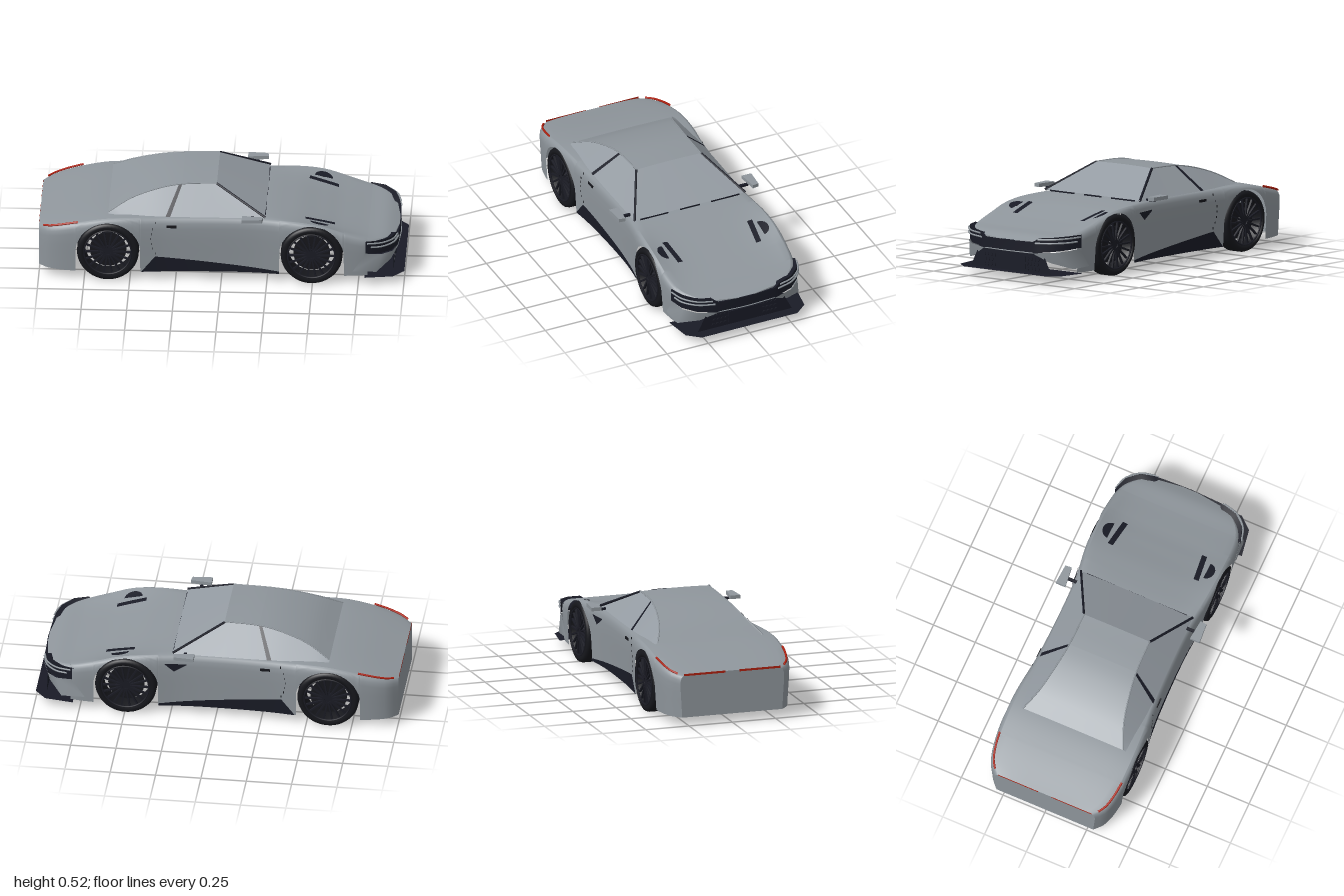
import * as THREE from 'three';

const mat = (name, color) => {
  const m = new THREE.MeshStandardMaterial({ color, side: THREE.DoubleSide });
  m.name = name;
  return m;
};

// smooth interpolation through [x, value] knots
function curve(knots) {
  const n = knots.length;
  const slope = i => {
    const a = knots[Math.max(i - 1, 0)], b = knots[Math.min(i + 1, n - 1)];
    return (b[1] - a[1]) / (b[0] - a[0]);
  };
  return x => {
    let i = 0;
    while (i < n - 2 && x > knots[i + 1][0]) i++;
    const [x0, y0] = knots[i], [x1, y1] = knots[i + 1], h = x1 - x0;
    const t = Math.min(1, Math.max(0, (x - x0) / h)), t2 = t * t, t3 = t2 * t;
    return (2 * t3 - 3 * t2 + 1) * y0 + (t3 - 2 * t2 + t) * h * slope(i)
      + (3 * t2 - 2 * t3) * y1 + (t3 - t2) * h * slope(i + 1);
  };
}

// surface through equal-length rows of [x, y, z]
function loft(rows) {
  const m = rows[0].length, index = [];
  for (let i = 0; i < rows.length - 1; i++) for (let j = 0; j < m - 1; j++) {
    const a = i * m + j, b = a + m;
    index.push(a, a + 1, b, b, a + 1, b + 1);
  }
  const g = new THREE.BufferGeometry();
  g.setAttribute('position', new THREE.Float32BufferAttribute(rows.flat(2), 3));
  g.setIndex(index);
  g.computeVertexNormals();
  return g;
}
const steps = (a, b, n) => Array.from({ length: n + 1 }, (_, i) => a + (b - a) * i / n);
const tube = (pts, r, n = 12) => new THREE.TubeGeometry(
  new THREE.CatmullRomCurve3(pts.map(p => new THREE.Vector3(...p))), n, r, 6);
const outline = pts => new THREE.Shape(pts.map(p => new THREE.Vector2(...p)));

// body profiles along the car
const halfWidth = curve([[-1, .30], [-.95, .345], [-.85, .376], [-.68, .389], [-.5, .382], [-.3, .36], [0, .35],
  [.2, .355], [.4, .379], [.55, .387], [.7, .38], [.8, .365], [.86, .335], [.92, .27], [.95, .19], [.965, .05]]);
const shoulder = curve([[-1, .285], [-.78, .34], [-.6, .368], [-.3, .37], [.2, .37], [.42, .362], [.55, .343],
  [.65, .312], [.8, .268], [.9, .247], [.965, .222]]);
const crown = curve([[-1, .008], [-.6, .008], [.2, .004], [.38, -.014], [.55, -.032], [.75, -.014], [.9, 0], [.965, 0]]);
const sidePlan = curve([[0, .965], [.45, .985], [.7, .997], [.88, .995], [.97, .968], [1, .93]]);
const WHEELS = [-.62, .495], AXLE = .169, ARCH = .177;
const sideZ = (x, y) => halfWidth(x) * sidePlan((y - .05) / (shoulder(x) - .05));
const topY = (x, z) => shoulder(x) + crown(x) * (1 - (z / (.93 * halfWidth(x))) ** 4);
function lowerEdge(x) {
  if (x > .8005) return shoulder(x) - .02;
  for (const c of WHEELS) {
    const d = Math.abs(x - c);
    if (d < ARCH) return Math.min(AXLE + Math.sqrt(ARCH * ARCH - d * d), shoulder(x) - .008);
  }
  return .05;
}
function halfSection(x) {
  const yb = lowerEdge(x), ys = shoulder(x), w = halfWidth(x) * .93;
  const side = [0, .2, .4, .6, .8, .9, .97, 1].map(k => {
    const y = yb + (ys - yb) * k;
    return [x, y, sideZ(x, y)];
  });
  return side.concat([.9, .8, .7, .55, .4, .2, 0].map(u => [x, topY(x, u * w), u * w]));
}
const flip = p => [p[0], p[1], -p[2]];

export function createModel() {
  const M = {
    body: mat('silver paint', 0x8f969c),
    glass: mat('grey glass', 0x949ba2),
    trim: mat('dark trim', 0x191b26),
    black: mat('black rubber', 0x16171c),
    rim: mat('dark rim', 0x1a1b24),
    red: mat('red light', 0xb0200f),
  };
  const car = new THREE.Group();
  car.name = 'sportsCar';
  const add = (name, geo, m, parent = car) => {
    const mesh = new THREE.Mesh(geo, m);
    mesh.name = name;
    parent.add(mesh);
    return mesh;
  };
  const box = (name, m, size, pos) => add(name, new THREE.BoxGeometry(...size), m).position.set(...pos);

  // body shell with wheel arches, open below
  const xs = steps(-1, .965, 84).concat([.8, .801],
    WHEELS.flatMap(c => [-1, 1].flatMap(s => [.169, .174, .1765, .1775].map(d => c + s * d))));
  xs.sort((a, b) => a - b);
  add('bodyShell', loft(xs.map(x => {
    const h = halfSection(x);
    return h.concat(h.slice(0, -1).reverse().map(flip));
  })), M.body);
  const tail = halfSection(-1);
  add('rearPanel', loft([tail, tail.map(flip)]), M.body);
  box('floor', M.black, [.62, .01, .44], [-.04, .13, 0]);

  // cabin: roofline edge and belt line
  const edgeY = curve([[-.62, .378], [-.5, .44], [-.35, .487], [-.22, .508], [-.03, .515]]);
  const edgeZ = curve([[-.62, .3], [-.5, .25], [-.35, .217], [-.22, .2], [-.03, .195]]);
  const beltZ = curve([[-.62, .315], [-.3, .335], [.24, .333]]);
  const roofRow = x => steps(-1, 1, 8).map(u => [x, edgeY(x) + .004 * (1 - u * u), u * edgeZ(x)]);
  add('rearGlass', loft(steps(-.62, -.22, 12).map(roofRow)), M.body);
  add('roof', loft(steps(-.22, -.03, 5).map(roofRow)), M.body);
  add('windshield', loft([roofRow(-.03),
    steps(-1, 1, 8).map(u => [.24, .378 + .003 * (1 - u * u), u * .333])]), M.glass);
  box('cowl', M.trim, [.004, .008, .12], [.239, .376, 0]);

  // nose outline: [x, z, top y, bottom y], with a shelf running back under the bonnet
  const nose = [[.79, .375, .262, .19], [.87, .35, .26, .183], [.93, .285, .252, .173],
    [.952, .21, .245, .166], [.963, .17, .222, .16], [.97, 0, .22, .16]];
  const fullNose = nose.concat(nose.slice(0, -1).reverse().map(([x, z, a, b]) => [x, -z, a, b]));
  add('noseBand', loft(fullNose.map(([x, z, a, b]) => [[x, a, z], [x, b, z]])), M.trim);
  add('noseShelf', loft(fullNose.map(([x, z, a]) =>
    [[x, a - .001, z], [x - .08, Math.min(a, .237) - .008, z * .85]])), M.trim);
  add('noseLip', tube([[.962, .16, -.17], [.972, .16, 0], [.962, .16, .17]], .003), M.body);

  // lower grille, plate and flat splitter
  add('lowerGrille', loft([[[.94, .045, .285], [.94, .165, .225]], [[.94, .045, -.285], [.94, .165, -.225]]]), M.trim);
  box('platePanel', M.trim, [.006, .07, .205], [.944, .098, 0]);
  const splitter = outline([[.785, .385], [.94, .36], [1, .29], [1, -.29], [.94, -.36], [.785, -.385]]);
  add('splitter', new THREE.ShapeGeometry(splitter).rotateX(-Math.PI / 2).translate(0, .048, 0), M.trim);

  for (const s of [1, -1]) {
    const S = pts => pts.map(([x, y, z]) => [x, y, z * s]);
    const strip = rows => loft(rows.map(S));

    // side glass, pillars and window trim
    const glassXs = steps(-.62, -.03, 16);
    add('sideGlass', strip(glassXs.map(x => [[x, .372, beltZ(x)], [x, edgeY(x), edgeZ(x)]])
      .concat([[[.24, .372, .333], [.24, .377, .333]]])), M.glass);
    add('windowTrim', tube(S(glassXs.map(x => [x, edgeY(x), edgeZ(x)])), .004, 24), M.body);
    add('frontPillar', tube(S([[-.03, .513, .197], [.105, .446, .266], [.24, .379, .335]]), .007), M.trim);
    add('middlePillar', strip([[[-.305, .373, .339], [-.28, .373, .339]],
      [[-.238, .507, .206], [-.22, .507, .205]]]), M.trim);
    box('cowl', M.trim, [.004, .008, .17], [.239, .376, s * .215]);

    // dark sill below the door
    add('sill', strip(steps(-.437, .316, 10).map(x => {
      const top = x < -.4 ? .05 + (x + .437) * 2.6 : .146 - (x + .4) * .115;
      return [[x, .049, sideZ(x, .05) + .004], [x, top, sideZ(x, top) + .004]];
    })), M.trim);

    // door seam and handle
    for (const y of [.16, .19, .22, .25, .28, .31, .345]) {
      const x = -.385 + 3 * (y - .25) ** 2;
      box('doorSeam', M.black, [.004, .012, .004], [x, y, s * sideZ(x, y)]);
    }
    box('doorHandle', M.black, [.055, .014, .008], [-.272, .322, s * sideZ(-.272, .322)]);

    // mirror tapering towards the front of the car
    box('mirrorArm', M.trim, [.016, .012, .055], [.17, .378, s * .357]);
    const mirror = outline([[.115, s * .373], [.23, s * .386], [.225, s * .422], [.115, s * .43]]);
    add('mirror', new THREE.ExtrudeGeometry(mirror, { depth: .02, bevelEnabled: false })
      .rotateX(Math.PI / 2).translate(0, .404, 0), M.body);

    // bonnet vents laid on the surface
    const onTop = (x, z) => [x, topY(x, z) + .004, z];
    add('bonnetSlat', strip(steps(0, 1, 5).map(t => {
      const x = .458 + .16 * t, z = .272 - .02 * t;
      return [onTop(x, z), onTop(x, z - .015), onTop(x, z - .03)];
    })), M.trim);
    add('bonnetVent', strip(steps(0, Math.PI, 10).map(a => {
      const x = .535 - .05 * Math.cos(a), d = .045 * Math.sin(a);
      return [onTop(x, .288), onTop(x, .288 + d / 2), onTop(x, .288 + d)];
    })), M.trim);

    // headlight bars and angular bumper corner
    add('upperLightBar', tube(S([[.8, .25, .377], [.875, .247, .353], [.938, .241, .285], [.96, .236, .205]]), .005), M.body);
    add('lowerLightBar', tube(S([[.82, .226, .37], [.875, .224, .353], [.938, .22, .285], [.965, .216, .19]]), .005), M.body);
    add('bumperCorner', strip([[[.795, .185, .367], [.72, .08, .372]], [[.88, .177, .347], [.85, .077, .367]],
      [[.935, .168, .285], [.925, .11, .265]], [[.966, .16, .17], [.966, .158, .175]]]), M.body);
    for (let i = 0; i < 4; i++) for (let j = 0; j < 3; j++) {
      const hex = add('grilleCell', new THREE.CylinderGeometry(.012, .012, .004, 6), M.trim);
      hex.rotation.z = Math.PI / 2;
      hex.position.set(.942, .069 + .027 * j, s * (.118 + .024 * i - (j % 2) * .006));
    }

    // tail light lines
    add('sideTailLight', tube(S([-.975, -.94, -.9, -.85, -.785].map(x =>
      [x, shoulder(x) + .004, halfWidth(x) * .95])), .006), M.red);
    add('rearTailLight', strip([.04, .28].map(z => [[-1.001, .284, z], [-1.001, .296, z]])), M.red);

    // wheels: tyre, rim edge, brake disc, hub and spokes
    for (const cx of WHEELS) {
      const wheel = new THREE.Group();
      wheel.name = 'wheel';
      wheel.position.set(cx, AXLE, s * .333);
      if (s < 0) wheel.rotation.y = Math.PI;
      car.add(wheel);
      const profile = [[.128, -.046], [.15, -.048], [.164, -.043], [.169, -.03], [.169, .03], [.164, .043],
        [.15, .048], [.128, .046], [.128, -.046]].map(p => new THREE.Vector2(...p));
      add('tyre', new THREE.LatheGeometry(profile, 48).rotateX(Math.PI / 2), M.black, wheel);
      add('rimEdge', new THREE.TorusGeometry(.13, .005, 6, 48).translate(0, 0, .045), M.rim, wheel);
      add('brakeDisc', new THREE.CylinderGeometry(.1, .1, .012, 36).rotateX(Math.PI / 2), M.black, wheel);
      add('hub', new THREE.CylinderGeometry(.022, .026, .035, 16).rotateX(Math.PI / 2).translate(0, 0, .02), M.rim, wheel);
      for (let i = 0; i < 18; i++) {
        const spoke = new THREE.BoxGeometry(.114, .009, .012).translate(.074, 0, .036);
        add('spoke', spoke.rotateZ(i * Math.PI / 9), M.rim, wheel);
      }
    }
  }

  // small triangular side vent on the right flank
  add('sideVent', loft([[.28, .32, .322], [.23, .275, .322], [.16, .318, .324]].map(([x, a, b]) =>
    [a, b].map(y => [x, y, -sideZ(x, y) - .004]))), M.trim);
  return car;
}
